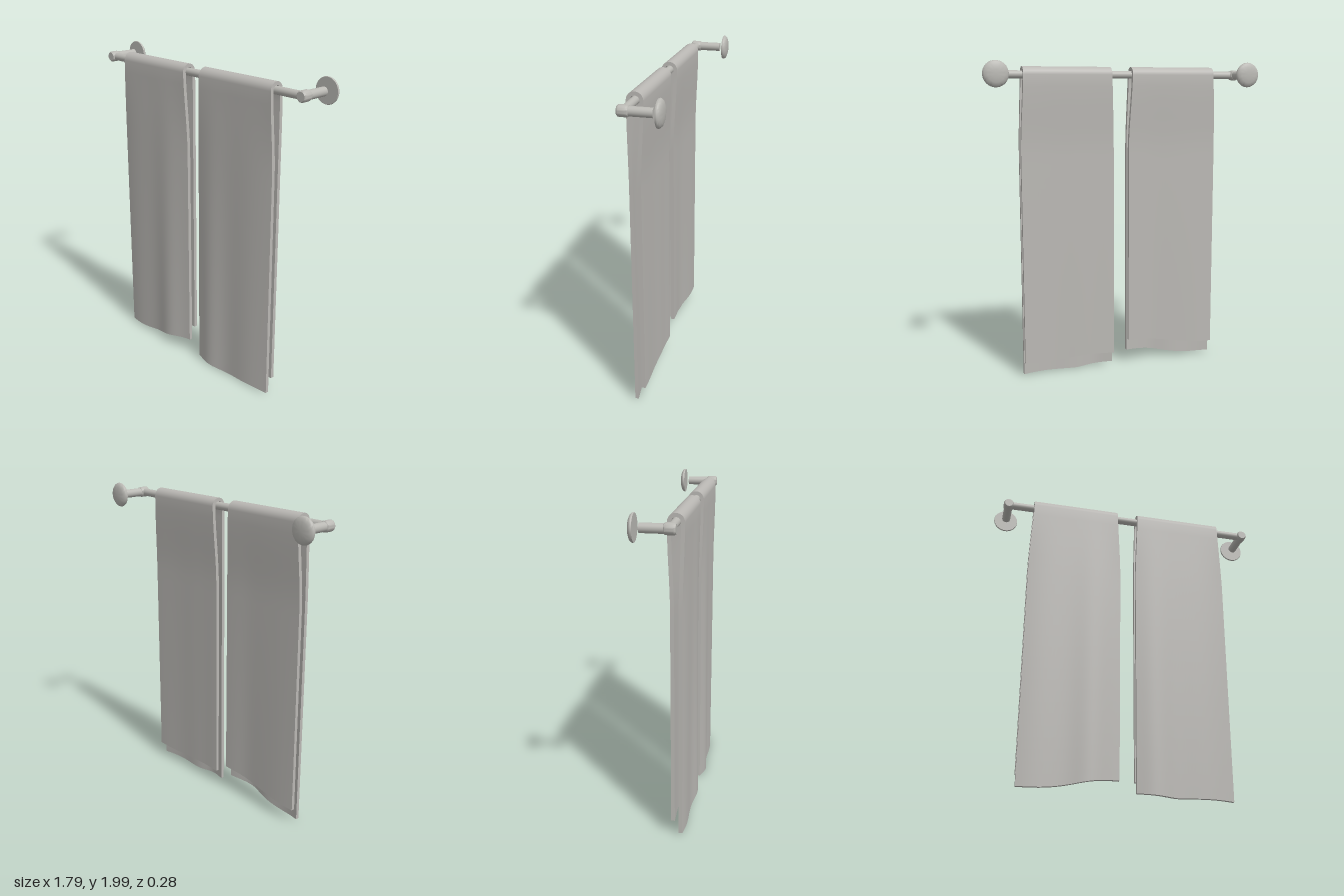
import * as THREE from 'three';
import { toCreasedNormals } from 'three/addons/utils/BufferGeometryUtils.js';

const metal = new THREE.MeshStandardMaterial({ color: 0xbab9b4 });
metal.name = 'metal';
const cloth = new THREE.MeshStandardMaterial({ color: 0xbab8b4 });
cloth.name = 'cloth';

const ROD_Y = 1.922, ROD_Z = 0.072;
const lerp = THREE.MathUtils.lerp;

function part(name, geometry, material, x = 0, y = 0, z = 0) {
  const mesh = new THREE.Mesh(geometry, material);
  mesh.name = name;
  mesh.position.set(x, y, z);
  return mesh;
}

// Turned shape whose axis points to the back (-z)
function turned(profile) {
  const geo = new THREE.LatheGeometry(profile.map(([r, h]) => new THREE.Vector2(r, h)), 40);
  geo.rotateX(-Math.PI / 2);
  return toCreasedNormals(geo, 0.7);
}

// Thick cloth folded over the rod: front leg up, arc over the top, back leg down
function towelGeometry({ top, bottom, frontHem, backHem, bumpAt }) {
  const N = 28, LEG = 26, ARC = 14, HALF = 0.011, R = 0.038;
  const rows = LEG * 2 + ARC, ring = 2 * (N + 1);
  const pos = [], index = [];

  const place = (u, row, side) => {
    const front = row < LEG, back = row > LEG + ARC;
    let y, z, ny = 0, nz = 1;
    if (front || back) {
      const t = front ? 1 - row / LEG : (row - LEG - ARC) / LEG;
      y = lerp(ROD_Y, front ? frontHem(u) : backHem(u), t);
      const drop = THREE.MathUtils.smoothstep(ROD_Y - y, 0, 0.5);
      const edge = Math.abs(2 * u - 1) ** 3;
      const bump = Math.exp(-(((u - bumpAt) / 0.16) ** 2));
      if (front) {
        z = ROD_Z + R + drop * (0.002 - 0.012 * edge) + t * (0.018 * bump - 0.003 + 0.003 * Math.sin(u * 11));
      } else {
        nz = -1;
        z = ROD_Z - R + drop * 0.018 + t * (0.005 * bump - 0.003 * Math.sin(u * 8));
      }
    } else {
      const a = ((row - LEG) / ARC) * Math.PI;
      ny = Math.sin(a);
      nz = Math.cos(a);
      y = ROD_Y + R * ny;
      z = ROD_Z + R * nz;
    }
    const w = THREE.MathUtils.smoothstep(ROD_Y - y, -0.1, 0.5);
    const x = lerp(lerp(top[0], bottom[0], w), lerp(top[1], bottom[1], w), u);
    pos.push(x, y + ny * HALF * side, z + nz * HALF * side);
  };

  for (let r = 0; r <= rows; r++) {
    for (let i = 0; i <= N; i++) place(i / N, r, 1);
    for (let i = N; i >= 0; i--) place(i / N, r, -1);
  }
  const quad = (a, b, c, d) => index.push(a, b, c, a, c, d);
  for (let r = 0; r < rows; r++) {
    for (let i = 0; i < ring; i++) {
      const j = (i + 1) % ring, o = r * ring;
      quad(o + i, o + j, o + ring + j, o + ring + i);
    }
  }
  // Hem faces
  const last = rows * ring;
  for (let i = 0; i < N; i++) {
    const k = ring - 1 - i;
    quad(i, k, k - 1, i + 1);
    quad(last + i, last + i + 1, last + k - 1, last + k);
  }
  const geo = new THREE.BufferGeometry();
  geo.setAttribute('position', new THREE.Float32BufferAttribute(pos, 3));
  geo.setIndex(index);
  return toCreasedNormals(geo, 0.8);
}

export function createModel() {
  const model = new THREE.Group();
  model.name = 'towelRail';

  // Rod
  const rod = new THREE.CylinderGeometry(0.024, 0.024, 1.63, 32);
  rod.rotateZ(Math.PI / 2);
  model.add(part('rod', rod, metal, 0, ROD_Y, ROD_Z));

  // Brackets: elbow, arm and domed wall plate
  const elbow = turned([[0, 0], [0.026, 0], [0.032, 0.006], [0.033, 0.012], [0.033, 0.05],
    [0.031, 0.06], [0.026, 0.064], [0, 0.064]]);
  const arm = new THREE.CylinderGeometry(0.027, 0.027, 0.14, 32);
  arm.rotateX(Math.PI / 2);
  const plate = turned([[0, 0], [0.076, 0], [0.078, 0.005], [0.076, 0.012], [0.068, 0.02],
    [0.05, 0.027], [0.025, 0.03], [0, 0.031]]);
  for (const side of [-1, 1]) {
    const bracket = new THREE.Group();
    bracket.name = side > 0 ? 'leftBracket' : 'rightBracket';
    bracket.position.set(side * 0.815, ROD_Y, 0);
    bracket.add(
      part('elbow', elbow, metal, 0, 0, 0.104),
      part('arm', arm, metal, 0, 0, -0.02),
      part('wallPlate', plate, metal, 0, 0, -0.114),
    );
    model.add(bracket);
  }

  // Towels
  model.add(part('rightTowel', towelGeometry({
    top: [-0.645, -0.085], bottom: [-0.665, -0.062], bumpAt: 0.7,
    frontHem: (u) => 0.027 + 0.07 * THREE.MathUtils.smoothstep(u, 0.15, 1),
    backHem: (u) => 0.11 + 0.07 * THREE.MathUtils.smoothstep(u, 0, 1),
  }), cloth));
  model.add(part('leftTowel', towelGeometry({
    top: [0.055, 0.62], bottom: [0.04, 0.64], bumpAt: 0.2,
    frontHem: (u) => 0.028 - 0.025 * Math.sin(Math.min(u * 1.9, 1.4)) + 0.014 * Math.sin(Math.max(0, u - 0.4) * 4),
    backHem: (u) => 0.103 + 0.006 * Math.sin(u * 6),
  }), cloth));

  return model;
}
